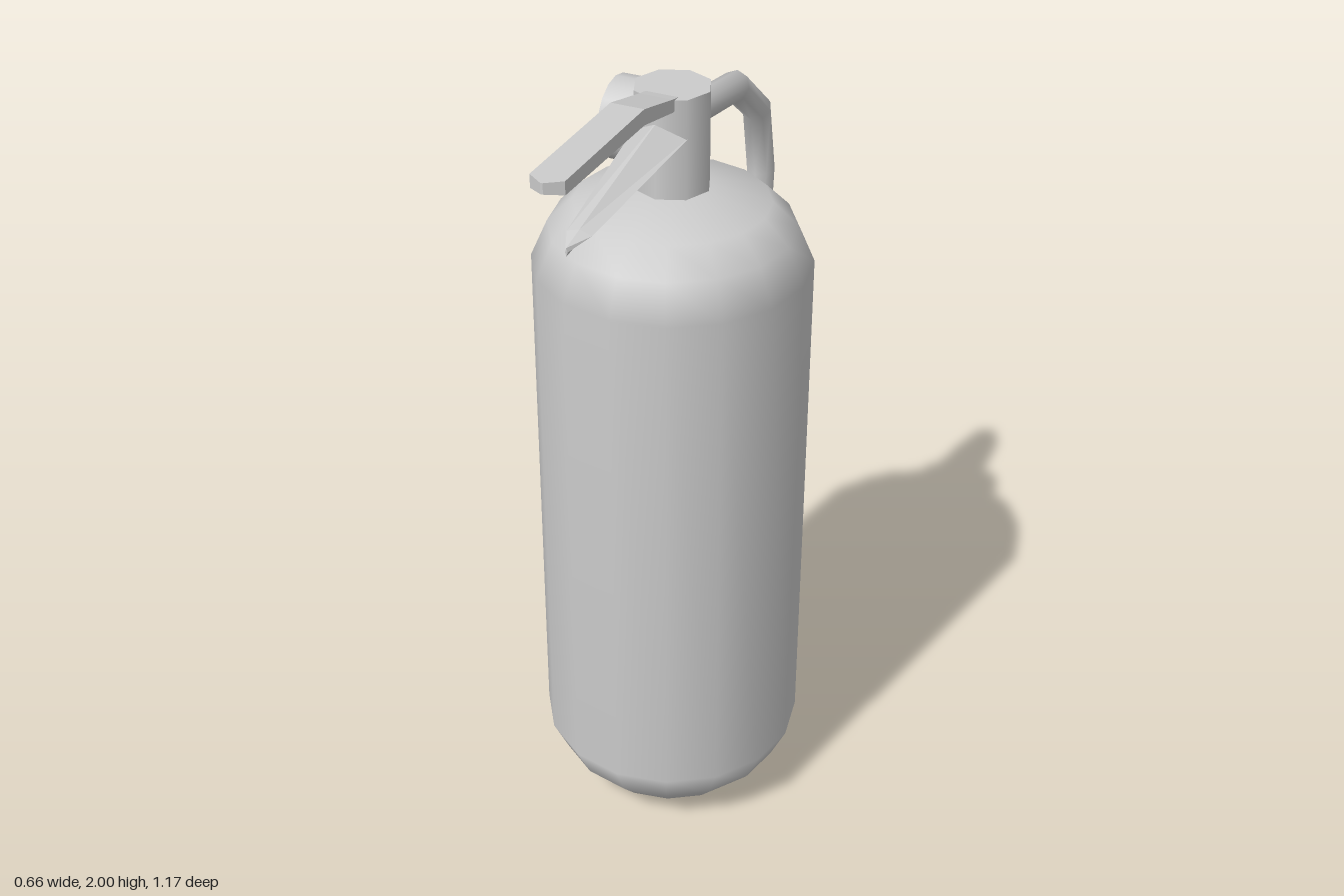
import * as THREE from 'three';

const grey = new THREE.MeshStandardMaterial({ color: 0xcccccc });
const greyFlat = new THREE.MeshStandardMaterial({ color: 0xcccccc, flatShading: true });
const v2 = (x, y) => new THREE.Vector2(x, y);
const AXIS_Z = -0.025; // the bottle's axis

function part(group, name, geometry, material, x = 0, y = 0, z = 0) {
  const mesh = new THREE.Mesh(geometry, material);
  mesh.name = name;
  mesh.position.set(x, y, z);
  group.add(mesh);
  return mesh;
}

// Skin over equal-sized cross-sections, ordered counterclockwise seen from +z and running towards +z
function loft(sections) {
  const n = sections[0].length;
  const index = [];
  for (let i = 0; i < sections.length - 1; i++) {
    for (let j = 0; j < n; j++) {
      const a = i * n + j, b = i * n + (j + 1) % n;
      index.push(a, b, b + n, a, b + n, a + n);
    }
  }
  const last = (sections.length - 1) * n;
  for (let j = 1; j < n - 1; j++) {
    index.push(0, j + 1, j, last, last + j, last + j + 1);
  }
  const geometry = new THREE.BufferGeometry();
  geometry.setAttribute('position', new THREE.Float32BufferAttribute(sections.flat(2), 3));
  geometry.setIndex(index);
  geometry.computeVertexNormals();
  return geometry;
}

// Straight segments with tube rings exactly on the corners
class Polyline extends THREE.Curve {
  constructor(points) {
    super();
    this.points = points;
  }
  getPoint(t, target = new THREE.Vector3()) {
    const f = t * (this.points.length - 1);
    const i = Math.min(Math.floor(f), this.points.length - 2);
    return target.lerpVectors(this.points[i], this.points[i + 1], f - i);
  }
  getUtoTmapping(u) {
    return u;
  }
  getTangent(t, target = new THREE.Vector3()) {
    const f = t * (this.points.length - 1);
    const before = Math.max(0, Math.ceil(f - 1e-6) - 1);
    const after = Math.min(this.points.length - 2, Math.floor(f + 1e-6));
    const dir = (i) => this.points[i + 1].clone().sub(this.points[i]).normalize();
    return target.copy(dir(before)).add(dir(after)).normalize();
  }
}

export function createModel() {
  const model = new THREE.Group();
  model.name = 'fireExtinguisher';

  // Bottle: doubled points keep the base edge sharp
  const bottle = [
    [0, 0], [0.14, 0], [0.14, 0], [0.23, 0.045], [0.29, 0.11], [0.33, 0.195],
    [0.33, 1.53], [0.29, 1.62], [0.23, 1.68], [0.09, 1.72], [0, 1.72],
  ].map(([r, y]) => v2(r, y));
  part(model, 'bottle', new THREE.LatheGeometry(bottle, 16), grey, 0, 0, AXIS_Z);

  // Valve and pressure gauge
  part(model, 'valveNeck', new THREE.CylinderGeometry(0.091, 0.091, 0.26, 8), grey, 0, 1.83, AXIS_Z);
  const gauge = part(model, 'pressureGauge',
    new THREE.CylinderGeometry(0.097, 0.097, 0.075, 16), grey, -0.103, 1.86, AXIS_Z);
  gauge.rotation.z = Math.PI / 2;

  // Squeeze lever: [z, half width, top, bottom]
  const lever = [
    [0.02, 0.04, 1.958, 1.935], [0.06, 0.04, 1.966, 1.935], [0.2, 0.04, 2, 1.963],
    [0.56, 0.04, 1.991, 1.96], [0.585, 0.003, 1.99, 1.965],
  ].map(([z, w, t, b]) => [[w, b, z], [w, t, z], [-w, t, z], [-w, b, z]]);
  part(model, 'squeezeLever', loft(lever), greyFlat);

  // Carrying handle with a diamond section: [z, half width, ridge, sides, keel]
  const handle = [
    [0.02, 0.067, 1.912, 1.87, 1.845], [0.43, 0.03, 1.815, 1.806, 1.788],
    [0.49, 0.003, 1.8, 1.79, 1.78],
  ].map(([z, w, t, s, b]) => [[w, s, z], [0, t, z], [-w, s, z], [0, b, z]]);
  part(model, 'carryingHandle', loft(handle), greyFlat);

  // Hose, given as [y, z]
  const path = [
    [1.868, -0.05], [1.823, -0.372], [1.71, -0.51], [1.533, -0.547],
    [1.325, -0.53], [0.875, -0.425], [0.5, -0.393], [0.34, -0.393],
  ].map(([y, z]) => new THREE.Vector3(0, y, z));
  part(model, 'hose', new THREE.TubeGeometry(new Polyline(path), path.length - 1, 0.037, 8), grey);

  // Nozzle
  const nozzle = [[0, 0.11], [0.05, 0.11], [0.05, 0.11], [0.05, 0.3], [0.05, 0.3], [0.036, 0.37], [0, 0.37]]
    .map(([r, y]) => v2(r, y));
  part(model, 'nozzle', new THREE.LatheGeometry(nozzle, 10), grey, 0, 0, -0.395);

  // Hose clip, narrowing away from the bottle
  const clip = new THREE.Shape([
    v2(-0.067, 0.325), v2(0.067, 0.325), v2(0.05, 0.42), v2(0.033, 0.443), v2(-0.033, 0.443), v2(-0.05, 0.42),
  ]);
  const clipGeometry = new THREE.ExtrudeGeometry(clip, { depth: 0.12, bevelEnabled: false });
  clipGeometry.rotateX(-Math.PI / 2);
  part(model, 'hoseClip', clipGeometry, greyFlat, 0, 0.365, 0);

  return model;
}
